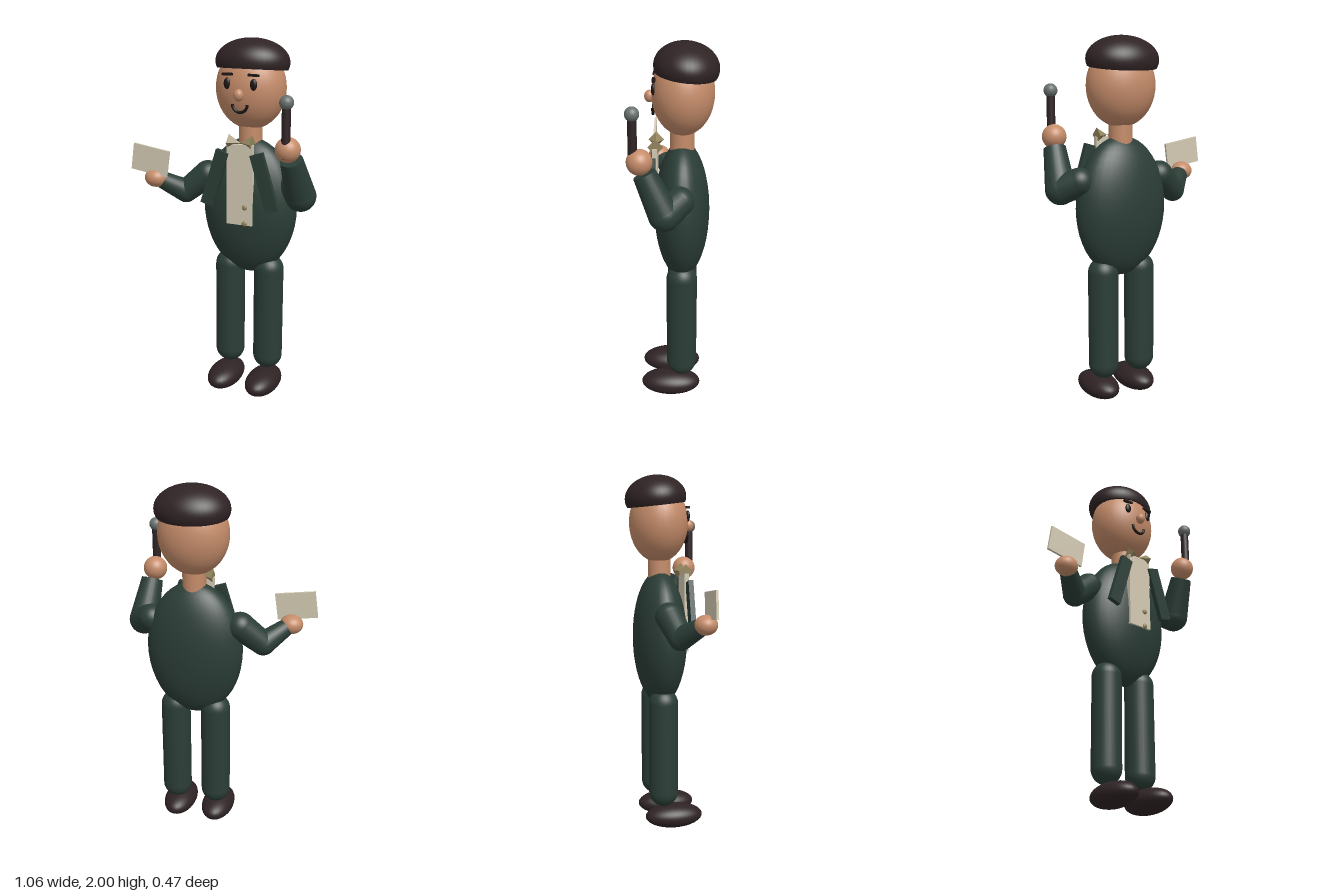
import * as THREE from 'three';

const paint = (name, color) => {
  const m = new THREE.MeshStandardMaterial({ color });
  m.name = name;
  return m;
};

export function createModel() {
  const suit = paint('suit green', 0x2b3d36);
  const skin = paint('skin', 0xc58c6a);
  const dark = paint('dark brown', 0x2f2324);
  const ink = paint('face ink', 0x1c1514);
  const cream = paint('cream', 0xd3cab3);
  const olive = paint('bow olive', 0x94865f);
  const grey = paint('metal grey', 0x69716f);

  const model = new THREE.Group();
  const CX = 0.12; // body centre line

  const add = (name, geo, mat, x, y, z, rotZ = 0) => {
    const mesh = new THREE.Mesh(geo, mat);
    mesh.name = name;
    mesh.position.set(x, y, z);
    mesh.rotation.z = rotZ;
    model.add(mesh);
    return mesh;
  };
  const ball = (name, mat, x, y, z, rx, ry = rx, rz = rx) =>
    add(name, new THREE.SphereGeometry(1, 32, 24).scale(rx, ry, rz), mat, x, y, z);
  const box = (name, mat, w, h, d, x, y, z, rotZ) =>
    add(name, new THREE.BoxGeometry(w, h, d), mat, x, y, z, rotZ);

  // tapered limb section from a to b
  const limb = (name, a, b, ra, rb) => {
    const from = new THREE.Vector3(...a), to = new THREE.Vector3(...b);
    const dir = to.clone().sub(from);
    const mid = from.clone().add(to).multiplyScalar(0.5);
    const mesh = add(name, new THREE.CylinderGeometry(rb, ra, dir.length(), 24), suit, mid.x, mid.y, mid.z);
    mesh.quaternion.setFromUnitVectors(new THREE.Vector3(0, 1, 0), dir.normalize());
  };
  const arm = (side, shoulder, elbow, wrist, r, rElbow, rWrist) => {
    ball(side + 'Shoulder', suit, ...shoulder, r);
    limb(side + 'UpperArm', shoulder, elbow, r, rElbow);
    ball(side + 'Elbow', suit, ...elbow, rElbow);
    limb(side + 'Forearm', elbow, wrist, rElbow, rWrist);
  };

  // body
  ball('torso', suit, CX, 1.092, -0.043, 0.27, 0.382, 0.148);
  add('neck', new THREE.CylinderGeometry(0.064, 0.064, 0.18, 24), skin, CX, 1.5, -0.043);

  // head and cap
  ball('head', skin, CX, 1.74, -0.047, 0.193, 0.22, 0.163);
  const cap = new THREE.Group();
  cap.name = 'cap';
  const dome = new THREE.Mesh(new THREE.SphereGeometry(1, 40, 20, 0, Math.PI * 2, 0, Math.PI * 0.6), dark);
  dome.name = 'capDome';
  const base = new THREE.Mesh(new THREE.CircleGeometry(Math.sin(Math.PI * 0.6), 40), dark);
  base.name = 'capUnderside';
  base.rotation.x = Math.PI / 2;
  base.position.y = Math.cos(Math.PI * 0.6);
  cap.add(dome, base);
  cap.scale.set(0.203, 0.125, 0.169);
  cap.position.set(CX, 1.875, -0.064);
  cap.rotation.x = -0.11;
  model.add(cap);

  // face
  ball('nose', skin, CX, 1.722, 0.125, 0.027, 0.032, 0.027);
  add('mouth', new THREE.TorusGeometry(0.042, 0.008, 10, 24, Math.PI), ink, CX, 1.672, 0.107, Math.PI);

  for (const s of [-1, 1]) {
    const side = s > 0 ? 'left' : 'right';
    ball(side + 'Eye', ink, CX + s * 0.074, 1.776, 0.102, 0.019, 0.03, 0.012);
    box(side + 'Brow', ink, 0.06, 0.012, 0.018, CX + s * 0.073, 1.824, 0.1, s * -0.03);

    // legs and shoes
    add(side + 'Leg', new THREE.CapsuleGeometry(0.083, 0.52, 10, 28), suit, CX + s * 0.117, 0.475, -0.045);
    ball(side + 'Shoe', dark, CX + s * 0.117, 0.068, 0.016, 0.093, 0.068, 0.165);

    // lapels and bow tie halves
    box(side + 'Lapel', suit, 0.073, 0.315, 0.028, CX + s * 0.143, 1.267, 0.108, s * 0.3);
    add(side + 'BowHalf', new THREE.ConeGeometry(0.042, 0.066, 4).toNonIndexed(), olive,
      CX + s * 0.034, 1.468, 0.095, s * Math.PI / 2).geometry.computeVertexNormals();
  }

  // shirt front with buttons
  box('shirtFront', cream, 0.148, 0.44, 0.026, CX, 1.24, 0.098);
  for (const y of [1.12, 1.03]) ball('button', olive, 0.152, y, 0.112, 0.015, 0.015, 0.008);

  // arms and hands
  arm('left', [0.37, 1.245, -0.035], [0.443, 1.2, 0.042], [0.422, 1.41, 0.14], 0.075, 0.083, 0.06);
  ball('leftHand', skin, 0.41, 1.468, 0.165, 0.066);
  arm('right', [-0.135, 1.245, -0.04], [-0.255, 1.143, -0.005], [-0.362, 1.215, 0.078], 0.077, 0.066, 0.048);
  ball('rightHand', skin, -0.39, 1.23, 0.097, 0.064, 0.053, 0.061);

  // microphone
  add('microphoneHandle', new THREE.CylinderGeometry(0.023, 0.023, 0.26, 20), dark, 0.41, 1.56, 0.197);
  ball('microphoneHead', grey, 0.41, 1.712, 0.197, 0.037);

  // note card
  box('noteCard', cream, 0.222, 0.148, 0.013, -0.41, 1.332, 0.12, -0.14);

  return model;
}
